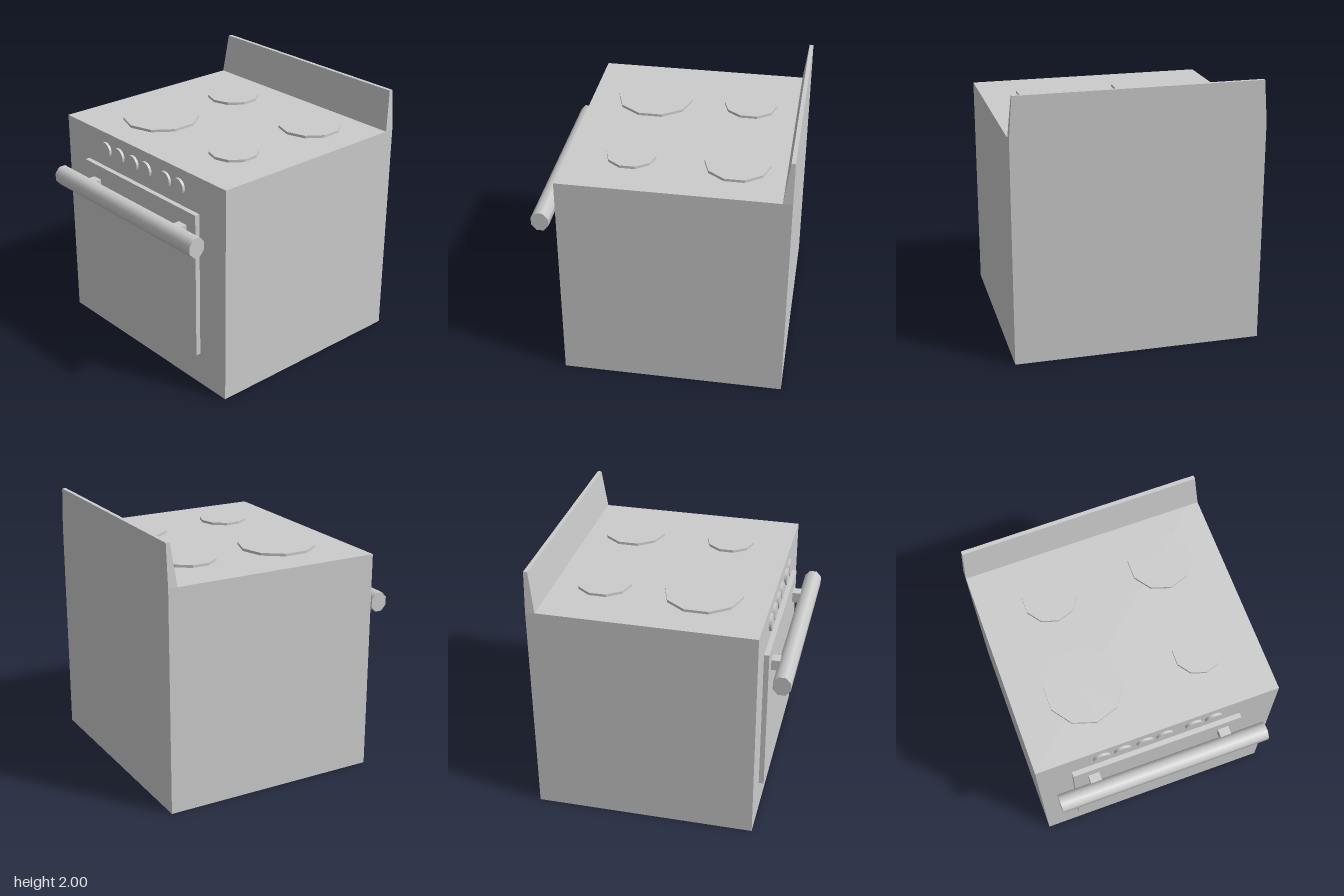
import * as THREE from 'three';

const material = new THREE.MeshStandardMaterial({ color: 0xcccccc });
const flat = new THREE.MeshStandardMaterial({ color: 0xcccccc, flatShading: true });

export function createModel() {
  const model = new THREE.Group();
  model.name = 'stove';

  const add = (name, geometry, x, y, z, mat = flat) => {
    const mesh = new THREE.Mesh(geometry, mat);
    mesh.name = name;
    mesh.position.set(x, y, z);
    model.add(mesh);
    return mesh;
  };
  // Box given by its lower and upper corners
  const box = (name, [x0, y0, z0], [x1, y1, z1]) =>
    add(name, new THREE.BoxGeometry(x1 - x0, y1 - y0, z1 - z0),
      (x0 + x1) / 2, (y0 + y1) / 2, (z0 + z1) / 2);

  // Cabinet
  box('body', [-0.93, 0, -0.95], [0.93, 1.69, 0.727]);

  // Backsplash: narrows towards the top, front face leans back
  const splash = new THREE.BoxGeometry(1.86, 0.31, 0.07);
  const p = splash.attributes.position;
  for (let i = 0; i < p.count; i++) {
    if (p.getY(i) < 0) continue;
    p.setX(i, Math.sign(p.getX(i)) * 0.905);
    if (p.getZ(i) > 0) p.setZ(i, -0.005);
  }
  splash.computeVertexNormals();
  add('backsplash', splash, 0, 1.845, -0.915);

  // Hot plates: x, z, radius
  for (const [x, z, r] of [
    [-0.395, -0.52, 0.206], [0.48, -0.52, 0.241],
    [-0.392, 0.23, 0.292], [0.48, 0.255, 0.184],
  ]) add('hotPlate', new THREE.CylinderGeometry(r, r, 0.03, 10), x, 1.695, z);

  // Control knobs
  for (const x of [-0.435, -0.275, -0.103, 0.05, 0.275, 0.43]) {
    const knob = add('knob', new THREE.CylinderGeometry(0.065, 0.065, 0.03, 20), x, 1.55, 0.732, material);
    knob.rotation.x = Math.PI / 2;
  }

  // Oven door
  box('door', [-0.67, 0.26, 0.7], [0.65, 1.41, 0.765]);

  // Handle brackets and bar
  for (const x of [-0.515, 0.512]) {
    box('handleBracket', [x - 0.042, 1.22, 0.75], [x + 0.042, 1.302, 0.85]);
  }
  const bar = new THREE.CylinderGeometry(0.0866, 0.0866, 1.63, 8);
  bar.rotateY(Math.PI / 8).rotateZ(Math.PI / 2).scale(1, 0.92, 0.81);
  add('handleBar', bar, -0.005, 1.262, 0.885, material);

  return model;
}
